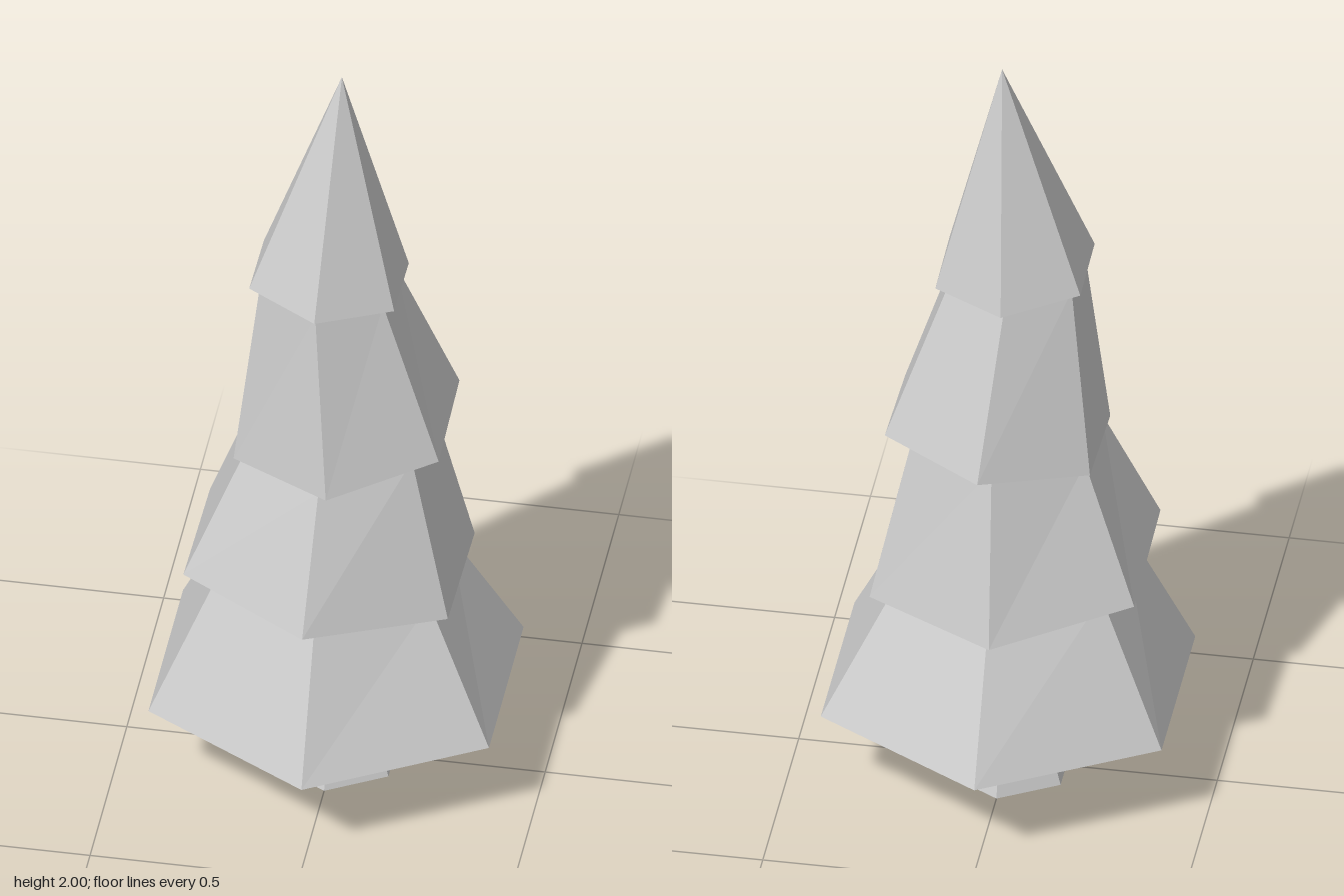
import * as THREE from 'three';

const SIDES = 6;
const material = new THREE.MeshStandardMaterial({ color: 0xcccccc, flatShading: true });

// A level is a tilted hexagon: centre x, y, z, radius r, and its slope along x and z.
const level = (x, y, z, r, slopeX = 0, slopeZ = 0) => ({ x, y, z, r, slopeX, slopeZ });

// Planes on which the branch tiers rest, from the bottom up, ending at the tip
const bases = [
  level(0, 0.24, 0, 0.47),
  level(-0.015, 0.59, 0.01, 0.365, -0.075, 0.065),
  level(0.022, 0.975, -0.018, 0.283, 0.115, -0.09),
  level(-0.015, 1.42, 0.01, 0.2, -0.06, 0.05),
  level(0.012, 2, -0.012, 0),
];

// Centre and radius of each tier where it meets the underside of the next one
const necks = [
  { x: 0, z: 0, r: 0.287 },
  { x: 0, z: 0.005, r: 0.235 },
  { x: -0.018, z: 0.01, r: 0.17 },
  { x: 0.012, z: -0.012, r: 0 },
];

// Hexagonal frustum from a bottom level to a neck lying on the plane of the level above
function tierGeometry(bottom, top, neck) {
  const geometry = new THREE.CylinderGeometry(neck.r, bottom.r, 1, SIDES, 1);
  const p = geometry.attributes.position;
  for (let i = 0; i < p.count; i++) {
    const plane = p.getY(i) > 0 ? top : bottom;
    const centre = p.getY(i) > 0 ? neck : bottom;
    const x = p.getX(i) + centre.x;
    const z = p.getZ(i) + centre.z;
    const y = plane.y + plane.slopeX * (x - plane.x) + plane.slopeZ * (z - plane.z);
    p.setXYZ(i, x, y, z);
  }
  geometry.computeVertexNormals();
  return geometry;
}

export function createModel() {
  const tree = new THREE.Group();
  tree.name = 'pineTree';

  // Trunk with a flared foot
  const profile = [[0, 0], [0.161, 0], [0.137, 0.075], [0.121, 0.24]];
  const trunk = new THREE.Mesh(
    new THREE.LatheGeometry(profile.map(([r, y]) => new THREE.Vector2(r, y)), SIDES),
    material,
  );
  trunk.name = 'trunk';
  tree.add(trunk);

  // Branch tiers, each leaning a little
  necks.forEach((neck, i) => {
    const tier = new THREE.Mesh(tierGeometry(bases[i], bases[i + 1], neck), material);
    tier.name = `branchTier${i + 1}`;
    tree.add(tier);
  });

  return tree;
}
